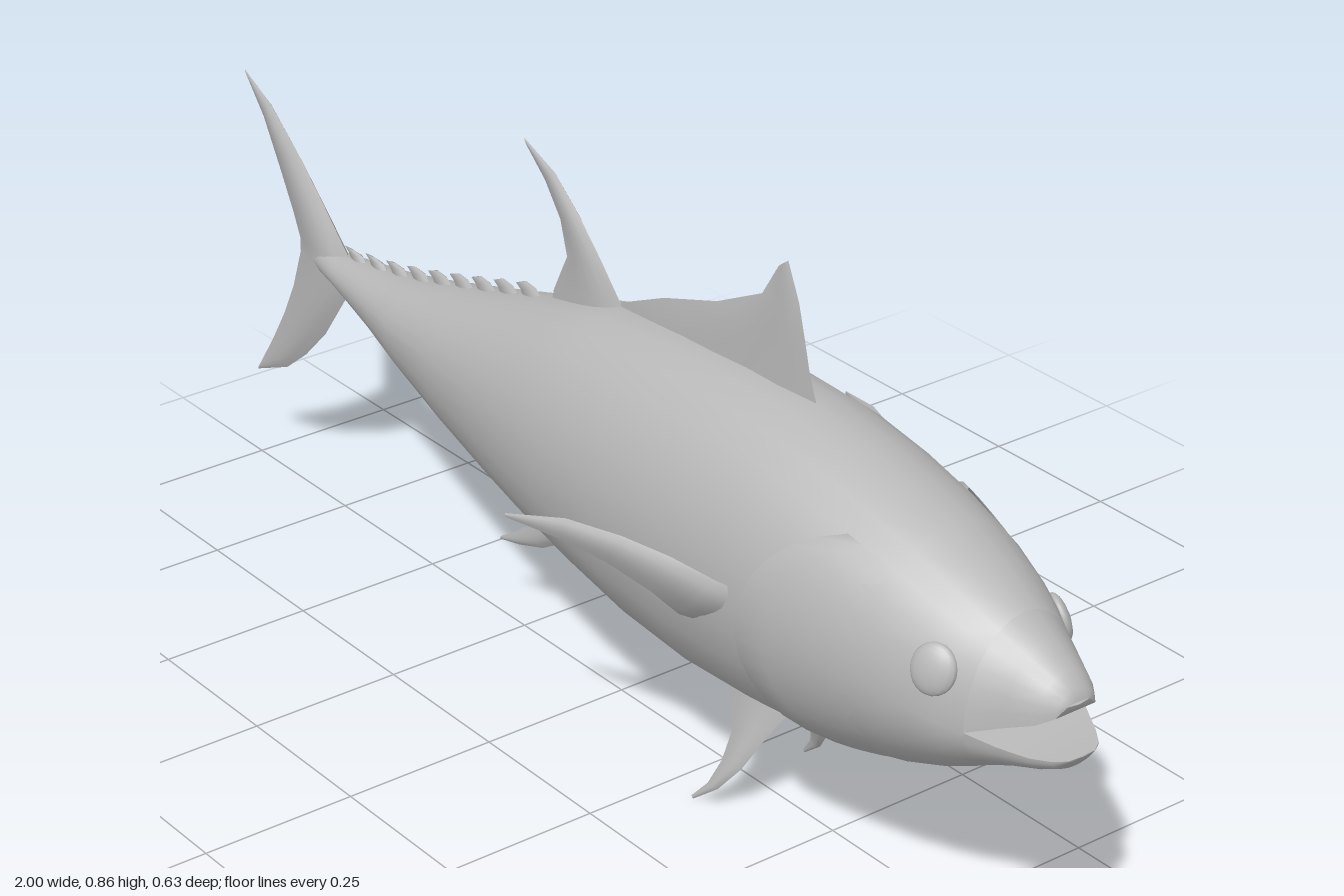
import * as THREE from 'three';
import { mergeVertices } from 'three/addons/utils/BufferGeometryUtils.js';

const skin = new THREE.MeshStandardMaterial({ color: 0xb8b8b8, side: THREE.DoubleSide });
skin.name = 'grey skin';

// Body stations from tail to mouth corner: x, top, middle, bottom, half width
const BODY = [
  [-0.8, 0.46, 0.437, 0.415, 0.014], [-0.72, 0.465, 0.437, 0.41, 0.034], [-0.6, 0.482, 0.436, 0.378, 0.058],
  [-0.5, 0.503, 0.435, 0.345, 0.08], [-0.35, 0.545, 0.435, 0.298, 0.108], [-0.2, 0.59, 0.435, 0.26, 0.135],
  [-0.1, 0.62, 0.435, 0.238, 0.152], [0, 0.648, 0.435, 0.218, 0.166], [0.15, 0.663, 0.435, 0.192, 0.18],
  [0.3, 0.672, 0.433, 0.18, 0.185], [0.44, 0.667, 0.43, 0.187, 0.184], [0.55, 0.648, 0.425, 0.2, 0.18],
  [0.65, 0.624, 0.42, 0.216, 0.17], [0.73, 0.6, 0.41, 0.238, 0.156], [0.8, 0.57, 0.4, 0.265, 0.136],
  [0.84, 0.552, 0.39, 0.285, 0.12], [0.875, 0.533, 0.383, 0.304, 0.102],
];
const UPPER_JAW = [
  [0.875, 0.533, 0.383, 0.304, 0.102], [0.92, 0.507, 0.402, 0.3, 0.076],
  [0.96, 0.482, 0.417, 0.3, 0.054], [0.98, 0.464, 0.43, 0.3, 0.036], [0.985, 0.446, 0.444, 0.3, 0.02],
];
const LOWER_JAW = [
  [0.875, 0.533, 0.383, 0.304, 0.102], [0.92, 0.5, 0.374, 0.324, 0.081],
  [0.96, 0.5, 0.369, 0.337, 0.06], [0.985, 0.5, 0.369, 0.348, 0.042], [0.997, 0.5, 0.369, 0.365, 0.024],
];

// Linear lookup in a station table
function stationAt(table, x) {
  let i = 0;
  while (i < table.length - 2 && x > table[i + 1][0]) i++;
  const a = table[i], b = table[i + 1], t = (x - a[0]) / (b[0] - a[0]);
  return a.map((v, k) => v + (b[k] - v) * t);
}

// Point on an oval section; grow moves it outward
function ovalPoint([x, top, mid, bottom, w], angle, grow = 0) {
  const s = Math.sin(angle), h = s > 0 ? top - mid : mid - bottom;
  return [x, mid + (h + grow) * s, (w + grow) * Math.cos(angle)];
}

// Smooth surface from a grid of points
function grid(nu, nv, point) {
  const pos = [], index = [], id = (u, v) => u * (nv + 1) + v;
  for (let u = 0; u <= nu; u++) for (let v = 0; v <= nv; v++) pos.push(...point(u, v));
  for (let u = 0; u < nu; u++) for (let v = 0; v < nv; v++) {
    index.push(id(u, v), id(u + 1, v), id(u + 1, v + 1), id(u, v), id(u + 1, v + 1), id(u, v + 1));
  }
  let g = new THREE.BufferGeometry();
  g.setAttribute('position', new THREE.Float32BufferAttribute(pos, 3));
  g.setIndex(index);
  g = mergeVertices(g, 1e-5);
  g.computeVertexNormals();
  return g;
}

function add(parent, name, geometry) {
  const mesh = new THREE.Mesh(geometry, skin);
  mesh.name = name;
  parent.add(mesh);
  return mesh;
}

// Lofted hide between two angles of a station table
const hide = (table, from, to, n) => grid(table.length - 1, n,
  (u, v) => ovalPoint(table[u], from + (to - from) * v / n));

// Fin of lens section; each row is [leading point, trailing point, half thickness]
function addFin(parent, name, rows, normal = [0, 0, 1]) {
  const fin = new THREE.Group(), n = 6;
  fin.name = name;
  for (const side of [1, -1]) {
    add(fin, side > 0 ? 'finFace' : 'finBackFace', grid(rows.length - 1, n, (u, v) => {
      const [lead, trail, thick] = rows[u], t = (side > 0 ? v : n - v) / n;
      const bulge = side * thick * Math.sin(Math.PI * Math.pow(t, 0.75));
      return lead.map((p, k) => p + (trail[k] - p) * t + normal[k] * bulge);
    }));
  }
  parent.add(fin);
}

// Flat rows [leadX, leadY, trailX, trailY, thickness] on the centre plane
const flat = (rows) => rows.map(([a, b, c, d, t]) => [[a, b, 0], [c, d, 0], t]);

export function createModel() {
  const fish = new THREE.Group();
  fish.name = 'fish';

  add(fish, 'body', hide(BODY, 0, Math.PI * 2, 28));

  // Open mouth: two jaws with flat inner faces and blunt tips
  for (const [name, table, from] of [['upperJaw', UPPER_JAW, 0], ['lowerJaw', LOWER_JAW, Math.PI]]) {
    add(fish, name, hide(table, from, from + Math.PI, 14));
    add(fish, name + 'Inside', grid(table.length - 1, 2, (u, v) =>
      [table[u][0], table[u][2], table[u][4] * (v - 1)]));
    const tip = table[table.length - 1];
    add(fish, name + 'Tip', grid(1, 14, (u, v) => u
      ? [tip[0] + 0.003, tip[2], 0] : ovalPoint(tip, from + Math.PI * v / 14)));
  }

  // Median fins
  addFin(fish, 'firstDorsalFin', flat([
    [0.45, 0.62, -0.03, 0.61, 0.012], [0.44, 0.67, 0, 0.655, 0.011], [0.425, 0.71, 0.1, 0.7, 0.009],
    [0.415, 0.75, 0.22, 0.74, 0.008], [0.4, 0.805, 0.32, 0.79, 0.006], [0.375, 0.86, 0.355, 0.845, 0.002],
  ]));
  addFin(fish, 'secondDorsalFin', flat([
    [0.03, 0.61, -0.18, 0.56, 0.014], [0, 0.65, -0.165, 0.615, 0.012], [-0.05, 0.705, -0.132, 0.68, 0.01],
    [-0.1, 0.755, -0.148, 0.735, 0.008], [-0.16, 0.805, -0.185, 0.785, 0.005], [-0.235, 0.835, -0.23, 0.825, 0.001],
  ]));
  addFin(fish, 'analFin', flat([
    [-0.05, 0.27, -0.21, 0.3, 0.013], [-0.08, 0.227, -0.185, 0.245, 0.011], [-0.14, 0.195, -0.2, 0.22, 0.009],
    [-0.2, 0.16, -0.232, 0.188, 0.006], [-0.26, 0.14, -0.275, 0.155, 0.003], [-0.312, 0.128, -0.308, 0.135, 0.001],
  ]));
  addFin(fish, 'tailFin', flat([
    [-1, 0.695, -0.995, 0.685, 0.001], [-0.93, 0.66, -0.95, 0.63, 0.006], [-0.86, 0.605, -0.905, 0.55, 0.01],
    [-0.795, 0.545, -0.873, 0.49, 0.014], [-0.715, 0.465, -0.855, 0.45, 0.018], [-0.71, 0.41, -0.855, 0.425, 0.018],
    [-0.79, 0.3, -0.88, 0.355, 0.014], [-0.85, 0.24, -0.91, 0.295, 0.01], [-0.91, 0.193, -0.95, 0.23, 0.006],
    [-1, 0.155, -0.995, 0.165, 0.001],
  ]));

  // Rows of small finlets along the back and underside
  for (let i = 0; i < 9; i++) {
    const x = -0.19 - i * 0.058, back = x - 0.066, a = stationAt(BODY, x), b = stationAt(BODY, back);
    for (const [name, k, dir] of [['upperFinlet', 1, 1], ['lowerFinlet', 3, -1]]) {
      addFin(fish, name, flat([
        [x, a[k] - 0.012 * dir, back + 0.02, b[k] - 0.012 * dir, 0.007],
        [x - 0.02, a[k] + 0.006 * dir, back + 0.006, b[k] + 0.01 * dir, 0.005],
        [x - 0.045, a[k] + 0.009 * dir, back - 0.005, b[k] + 0.017 * dir, 0.001],
      ]));
    }
  }

  // Paired parts on both flanks
  for (const s of [1, -1]) {
    const side = s > 0 ? 'right' : 'left';
    const mirror = (rows) => rows.map(([a, b, t]) => [[a[0], a[1], a[2] * s], [b[0], b[1], b[2] * s], t]);

    addFin(fish, side + 'PectoralFin', mirror([
      [[0.51, 0.44, 0.155], [0.4, 0.36, 0.165], 0.014], [[0.46, 0.46, 0.19], [0.385, 0.375, 0.195], 0.014],
      [[0.4, 0.482, 0.222], [0.36, 0.41, 0.225], 0.012], [[0.33, 0.494, 0.252], [0.3, 0.44, 0.256], 0.009],
      [[0.24, 0.494, 0.283], [0.235, 0.458, 0.285], 0.006], [[0.14, 0.47, 0.315], [0.14, 0.464, 0.315], 0.001],
    ]), [0.45, 0, 0.9 * s]);

    addFin(fish, side + 'PelvicFin', mirror([
      [[0.46, 0.215, 0.03], [0.3, 0.215, 0.03], 0.014], [[0.445, 0.187, 0.038], [0.312, 0.172, 0.04], 0.013],
      [[0.415, 0.135, 0.058], [0.345, 0.12, 0.062], 0.01], [[0.39, 0.08, 0.082], [0.347, 0.075, 0.084], 0.007],
      [[0.355, 0.035, 0.097], [0.332, 0.035, 0.097], 0.005], [[0.31, 0, 0.106], [0.306, 0.004, 0.106], 0.001],
    ]), [0, 0.35, 0.93 * s]);

    // Gill cover: a raised plate with a curved rear lip, fading into the cheek
    add(fish, side + 'GillCover', grid(6, 14, (u, v) => {
      const t = v / 7 - 1, f = Math.max(0, u - 1) / 5, rear = 0.5 + 0.14 * t * t;
      const grow = u === 0 ? -0.006 : 0.009 * (1 - f) * (1 - 0.6 * t * t) - 0.004 * f;
      const p = ovalPoint(stationAt(BODY, rear + (0.78 - rear) * f), -0.15 + 1.05 * t, grow);
      return [p[0], p[1], p[2] * s];
    }));

    // Slightly bulging eye
    const eye = add(fish, side + 'Eye', new THREE.SphereGeometry(0.034, 16, 12));
    eye.scale.set(1, 1.1, 0.4);
    eye.position.set(0.825, 0.462, 0.113 * s);
    eye.rotation.set(-0.3 * s, 0.4 * s, 0);
  }
  return fish;
}
